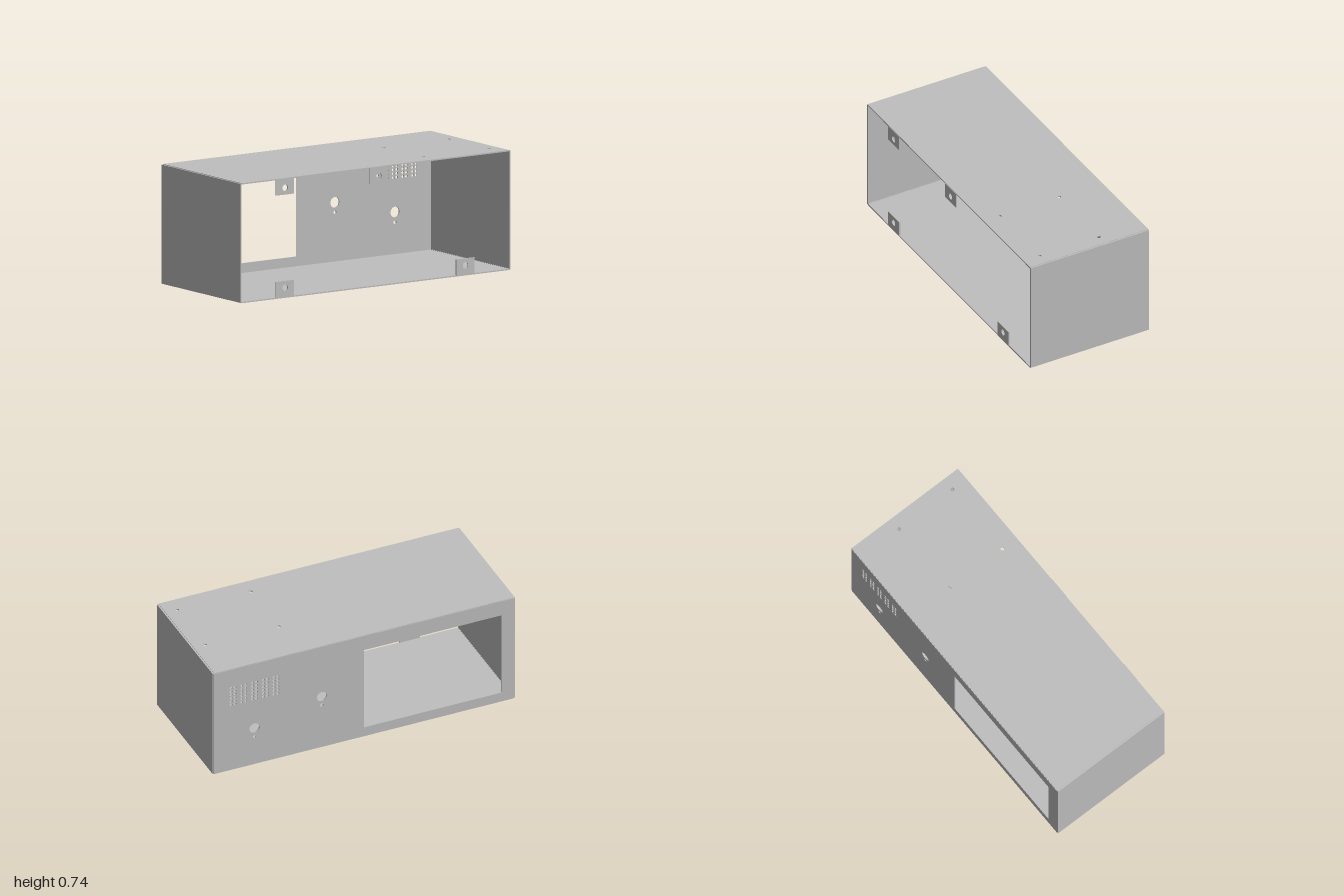
import * as THREE from 'three';

const T = 0.008;           // sheet thickness
const H = 0.735, D = 0.413; // height, half depth

// Flat sheet in the xy plane from (x0,y0) to (x1,y1), extruded along +z
function sheet(x0, y0, x1, y1, holes = [], window = null) {
  const rect = (P, a, b, c, d) => {
    const p = new P();
    p.moveTo(a, b); p.lineTo(c, b); p.lineTo(c, d); p.lineTo(a, d); p.closePath();
    return p;
  };
  const shape = rect(THREE.Shape, x0, y0, x1, y1);
  for (const [x, y, r] of holes) {
    const h = new THREE.Path();
    h.absarc(x, y, r, 0, Math.PI * 2, true);
    shape.holes.push(h);
  }
  if (window) shape.holes.push(rect(THREE.Path, ...window));
  return new THREE.ExtrudeGeometry(shape, { depth: T, bevelEnabled: false, curveSegments: 10 });
}

export function createModel() {
  const model = new THREE.Group();
  model.name = 'enclosure';
  const metal = new THREE.MeshStandardMaterial({ color: 0xbfbfbf });
  metal.name = 'sheet metal grey';
  const add = (name, geo) => {
    const m = new THREE.Mesh(geo, metal);
    m.name = name;
    model.add(m);
    return m;
  };

  // Back panel: display window, two control holes with locating holes, vent
  const holes = [
    [0.28, 0.37, 0.033], [0.28, 0.308, 0.011],
    [0.725, 0.265, 0.033], [0.725, 0.202, 0.011],
  ];
  for (let g = 0; g < 5; g++)
    for (let c = 0; c < 2; c++)
      for (let r = 0; r < 6; r++)
        holes.push([0.57 + g * 0.071 + c * 0.026, 0.597 - r * 0.0242, 0.009]);
  add('backPanel', sheet(-0.99, 0.003, 0.99, H - 0.003, holes, [-0.91, 0.067, 0, 0.63]))
    .position.z = -D;

  // Top panel with four mounting holes (shape y becomes -z)
  const mounts = [];
  for (const x of [0.43, 0.915]) for (const z of [-0.11, 0.3]) mounts.push([x, -z, 0.012]);
  const top = sheet(-0.99, -0.41, 0.99, 0.41, mounts);
  top.rotateX(-Math.PI / 2);
  add('topPanel', top).position.y = H - T;

  // Bottom panel
  add('bottomPanel', new THREE.BoxGeometry(1.98, T, 0.82)).position.y = T / 2;

  // Side panels
  for (const s of [1, -1])
    add(s > 0 ? 'leftPanel' : 'rightPanel', new THREE.BoxGeometry(T, H - 0.006, 0.819))
      .position.set(s * (1 - T / 2), H / 2, 0);

  // Folded corner seams joining the sides to the top, bottom and back
  for (const s of [1, -1]) {
    for (const y of [0.006, H - 0.006])
      add('cornerSeam', new THREE.BoxGeometry(0.006, 0.006, 0.816)).position.set(s * 0.99, y, 0);
    add('backSeam', new THREE.BoxGeometry(0.006, H - 0.008, 0.006)).position.set(s * 0.99, H / 2, -0.408);
  }

  // Front screw tabs folded from the top and bottom
  const tabs = [[-0.67, 1], [0.025, 1], [-0.67, 0], [0.665, 0]];
  for (const [x, upper] of tabs) {
    const y0 = upper ? 0.633 : 0.003, y1 = upper ? H - 0.003 : 0.105;
    const cy = upper ? 0.675 : 0.063;
    add(upper ? 'upperTab' : 'lowerTab', sheet(x - 0.067, y0, x + 0.067, y1, [[x, cy, 0.02]]))
      .position.z = D - T;
  }
  return model;
}
